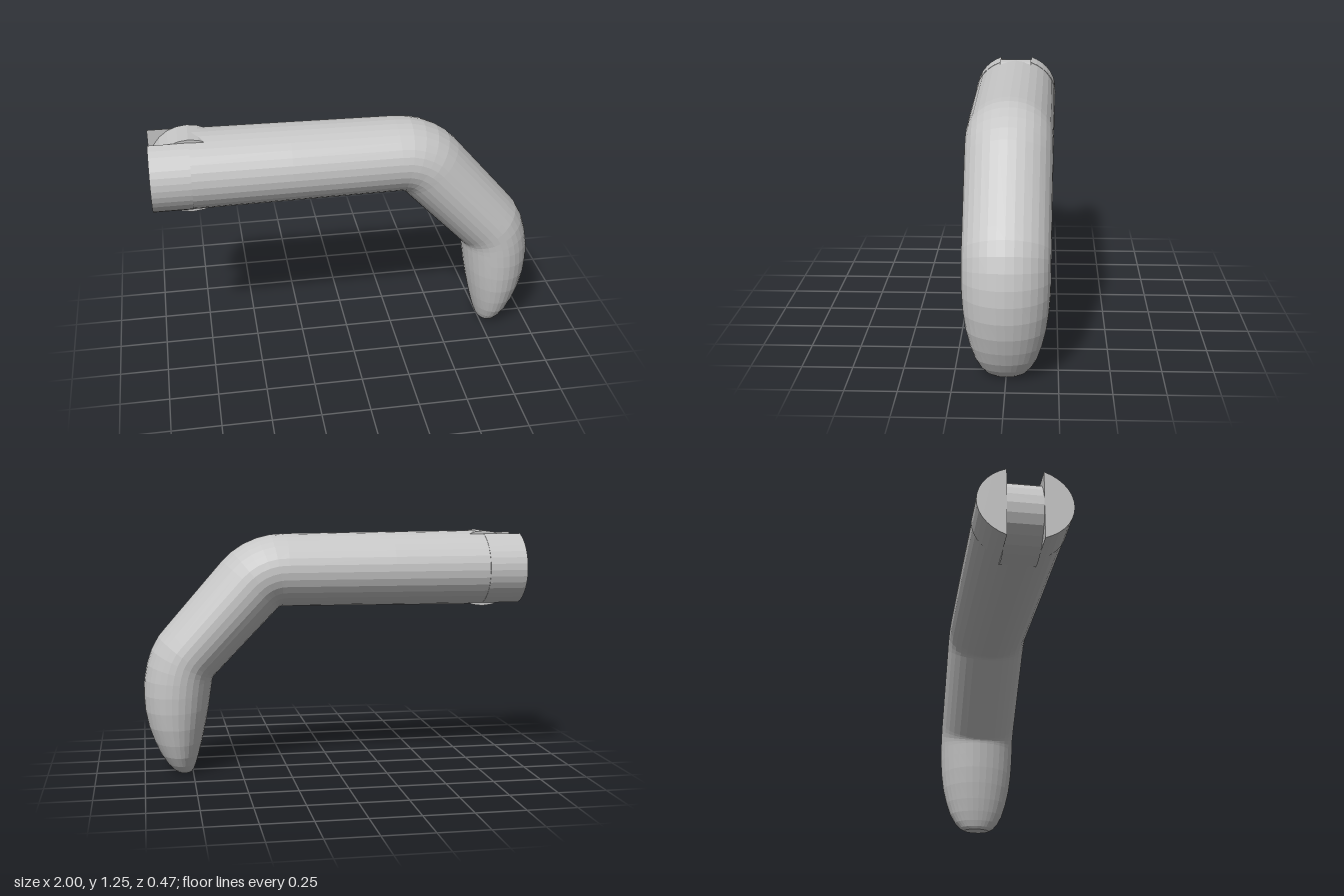
import * as THREE from 'three';

const SIDES = 32, AXIS_Y = 1.058;

// Cross-sections along the finger: [inner x, inner y, outer x, outer y, half width in z]
const SECTIONS = [
  // base segment
  [-0.80, 0.860, -0.80, 1.256, 0.232],
  [-0.30, 0.864, -0.30, 1.252, 0.228],
  [0.26, 0.868, 0.25, 1.247, 0.221],
  // first bend
  [0.270, 0.868, 0.33, 1.242, 0.220],
  [0.276, 0.867, 0.40, 1.225, 0.220],
  [0.282, 0.865, 0.47, 1.195, 0.219],
  [0.288, 0.862, 0.53, 1.155, 0.219],
  [0.295, 0.856, 0.58, 1.108, 0.218],
  // second bend
  [0.628, 0.512, 0.87, 0.775, 0.213],
  [0.632, 0.507, 0.915, 0.722, 0.213],
  [0.635, 0.502, 0.952, 0.655, 0.212],
  [0.637, 0.496, 0.977, 0.580, 0.212],
  [0.639, 0.488, 0.992, 0.500, 0.212],
  // fingertip
  [0.648, 0.430, 0.997, 0.420, 0.210],
  [0.660, 0.350, 0.991, 0.335, 0.204],
  [0.677, 0.260, 0.974, 0.250, 0.192],
  [0.697, 0.170, 0.946, 0.168, 0.172],
  [0.715, 0.100, 0.915, 0.100, 0.149],
  [0.730, 0.050, 0.883, 0.050, 0.122],
  [0.742, 0.018, 0.855, 0.018, 0.095],
  [0.752, 0.003, 0.835, 0.003, 0.070],
];

// Elliptical rings joined into a closed skin
function loft(sections) {
  const pos = [], index = [];
  const centre = ([ix, iy, ox, oy]) => [(ix + ox) / 2, (iy + oy) / 2, 0];
  for (const s of sections) {
    const [cx, cy] = centre(s), hx = s[2] - cx, hy = s[3] - cy;
    for (let j = 0; j < SIDES; j++) {
      const a = (j / SIDES) * Math.PI * 2;
      pos.push(cx + hx * Math.cos(a), cy + hy * Math.cos(a), s[4] * Math.sin(a));
    }
  }
  const last = (sections.length - 1) * SIDES, start = last + SIDES, end = start + 1;
  pos.push(...centre(sections[0]), ...centre(sections[sections.length - 1]));
  for (let j = 0; j < SIDES; j++) {
    const k = (j + 1) % SIDES;
    for (let r = 0; r < last; r += SIDES) {
      index.push(r + j, r + k, r + SIDES + j, r + k, r + SIDES + k, r + SIDES + j);
    }
    index.push(start, k, j, end, last + j, last + k);
  }
  const g = new THREE.BufferGeometry();
  g.setAttribute('position', new THREE.Float32BufferAttribute(pos, 3));
  g.setIndex(index);
  g.computeVertexNormals();
  return g;
}

// D-shaped side of the fork, cut from the same ellipse as the base segment
function prongGeometry(side) {
  const rz = 0.235, ry = 0.199, slot = 0.09;
  const limit = Math.acos(slot / rz), n = 14, pts = [];
  for (let i = 0; i <= n; i++) {
    const a = -limit + (2 * limit * i) / n;
    pts.push(new THREE.Vector2(-side * rz * Math.cos(a), ry * Math.sin(a)));
  }
  const g = new THREE.ExtrudeGeometry(new THREE.Shape(pts), { depth: 0.2, bevelEnabled: false });
  return g.rotateY(Math.PI / 2).translate(-1, AXIS_Y, 0);
}

export function createModel() {
  const model = new THREE.Group();
  model.name = 'bentFinger';
  const grey = new THREE.MeshStandardMaterial({ color: 0xc6c6c6 });
  grey.name = 'light grey';
  grey.flatShading = true;

  const add = (name, geometry) => {
    const mesh = new THREE.Mesh(geometry, grey);
    mesh.name = name;
    model.add(mesh);
  };

  add('fingerBody', loft(SECTIONS));
  add('leftProng', prongGeometry(1));
  add('rightProng', prongGeometry(-1));

  // rounded hinge barrel between the prongs
  const barrel = new THREE.CylinderGeometry(0.2, 0.2, 0.18, 24);
  barrel.rotateX(Math.PI / 2).translate(-0.8, AXIS_Y, 0);
  add('hingeBarrel', barrel);

  return model;
}
